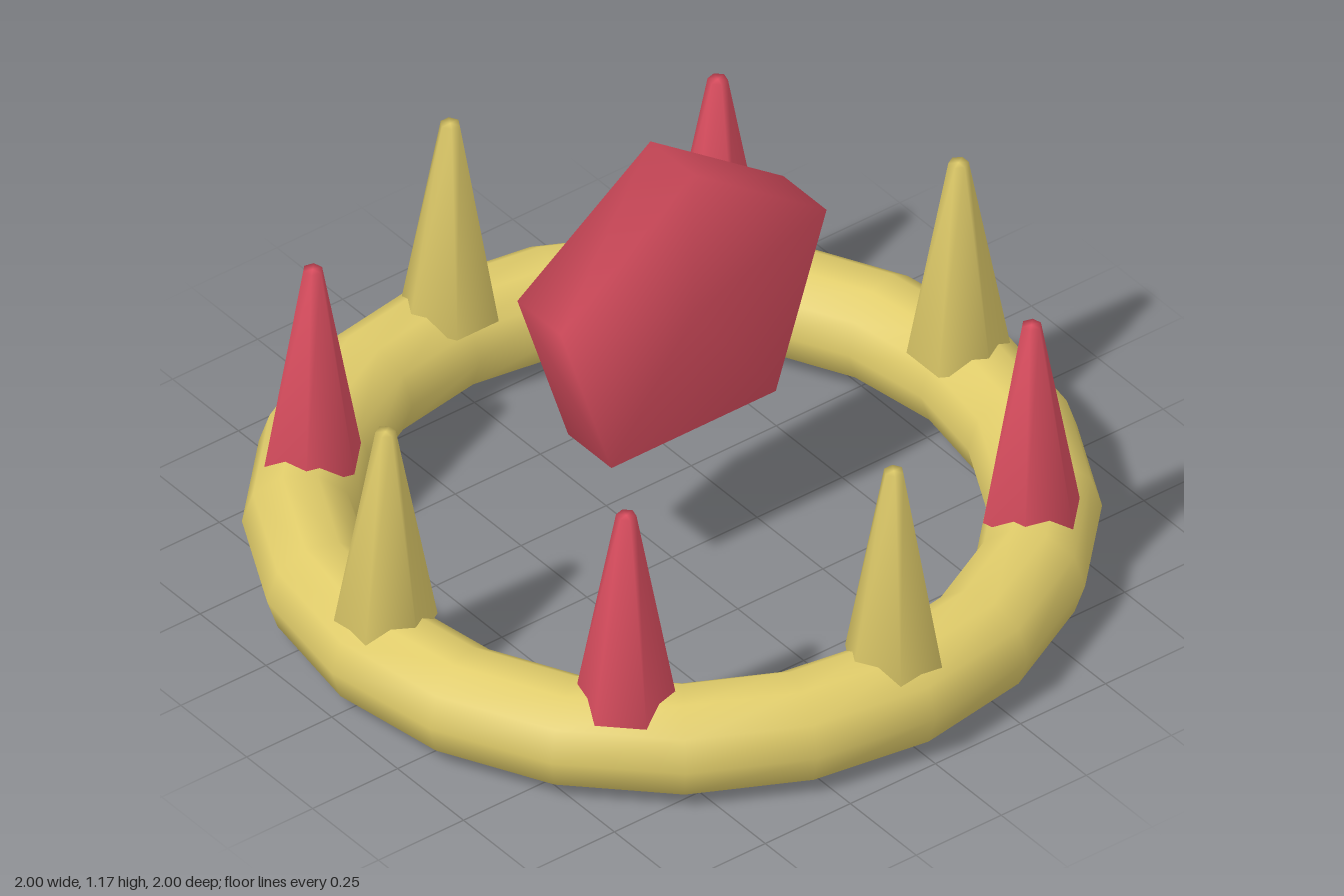
import * as THREE from 'three';
import { mergeVertices } from 'three/addons/utils/BufferGeometryUtils.js';

// Weld the corners so that shading runs smoothly over every edge
function soften(geometry) {
  geometry.deleteAttribute('normal');
  geometry.deleteAttribute('uv');
  const welded = mergeVertices(geometry, 1e-4);
  welded.computeVertexNormals();
  return welded;
}

export function createModel() {
  const gold = new THREE.MeshStandardMaterial({ color: 0xe0cc6a });
  gold.name = 'gold';
  const red = new THREE.MeshStandardMaterial({ color: 0xe05062 });
  red.name = 'red';

  const crown = new THREE.Group();
  crown.name = 'crown';
  const add = (name, geometry, material) => {
    const mesh = new THREE.Mesh(geometry, material);
    mesh.name = name;
    crown.add(mesh);
    return mesh;
  };

  // Band: a ring lying flat on the ground
  const band = add('band', new THREE.TorusGeometry(0.865, 0.135, 10, 20), gold);
  band.rotation.x = Math.PI / 2;
  band.position.y = 0.128;

  // Eight six-sided spikes, alternately gold and red, turned to follow the band
  const bottom = 0.217, top = 0.76, ringRadius = 0.842;
  const spikeGeometry = soften(new THREE.CylinderGeometry(0.024, 0.122, top - bottom, 6));
  for (let i = 0; i < 8; i++) {
    const angle = (i * Math.PI) / 4;
    const isGold = i % 2 === 0;
    const spike = add(isGold ? 'goldSpike' : 'redSpike', spikeGeometry, isGold ? gold : red);
    spike.position.set(Math.cos(angle) * ringRadius, (top + bottom) / 2, Math.sin(angle) * ringRadius);
    spike.rotation.y = -angle;
  }

  // Gem: an upright pentagonal slab floating in the middle, point up
  const gemGeometry = new THREE.CylinderGeometry(0.411, 0.411, 0.164, 5);
  gemGeometry.rotateX(-Math.PI / 2);
  const gem = add('gem', soften(gemGeometry), red);
  gem.position.y = 0.755;

  return crown;
}
